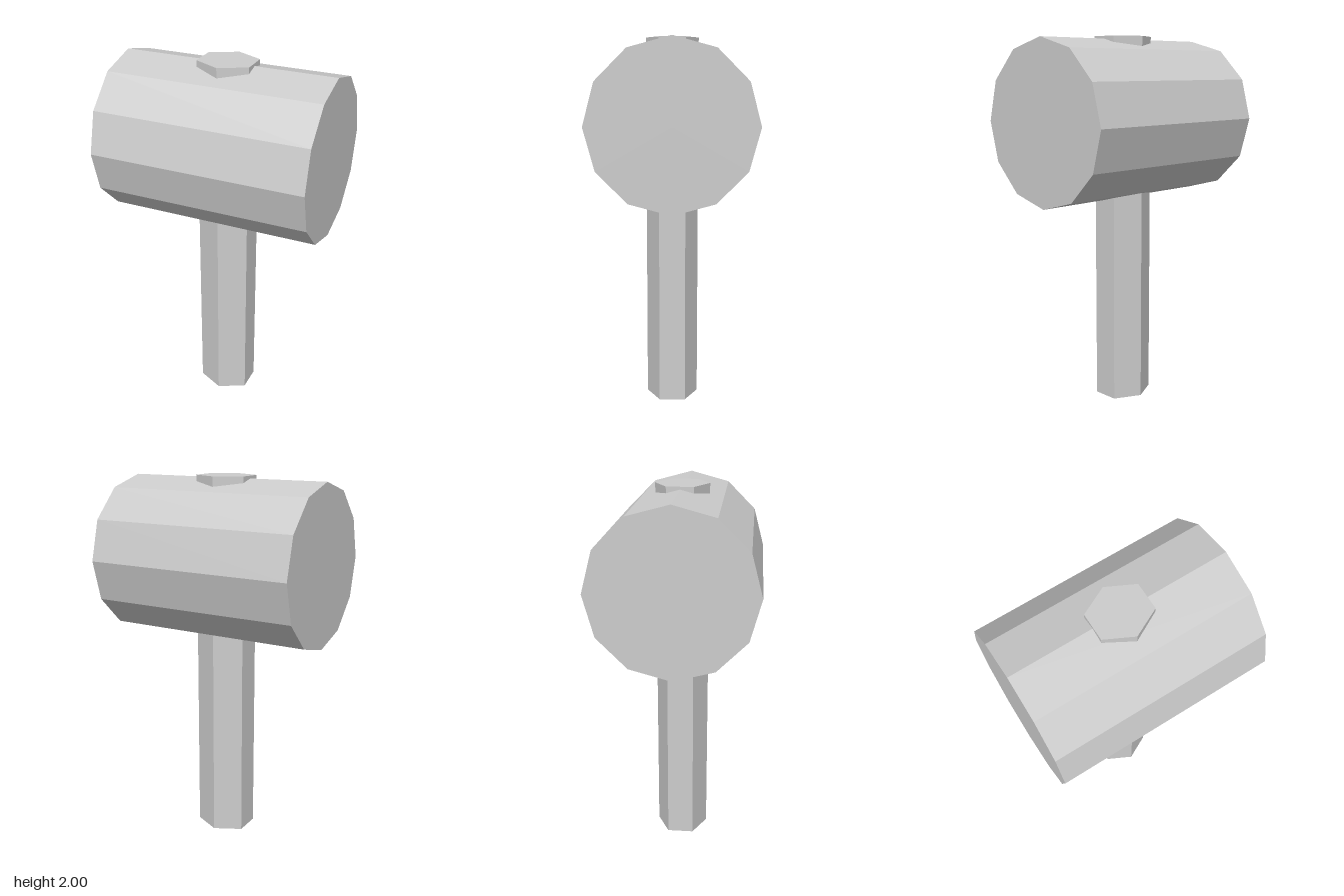
import * as THREE from 'three';

export function createModel() {
  const group = new THREE.Group();
  const material = new THREE.MeshStandardMaterial({ color: 0xcccccc, flatShading: true });

  // Twelve-sided head lying along x
  const headGeometry = new THREE.CylinderGeometry(0.428, 0.428, 1.142, 12);
  headGeometry.rotateZ(Math.PI / 2);
  const head = new THREE.Mesh(headGeometry, material);
  head.name = 'head';
  head.position.y = 1.558;

  // Six-sided handle, slightly widened in x, passing through the head
  const handleGeometry = new THREE.CylinderGeometry(0.142, 0.142, 2, 6);
  handleGeometry.scale(1.15, 1, 1);
  const handle = new THREE.Mesh(handleGeometry, material);
  handle.name = 'handle';
  handle.position.y = 1;

  group.add(head, handle);
  return group;
}
